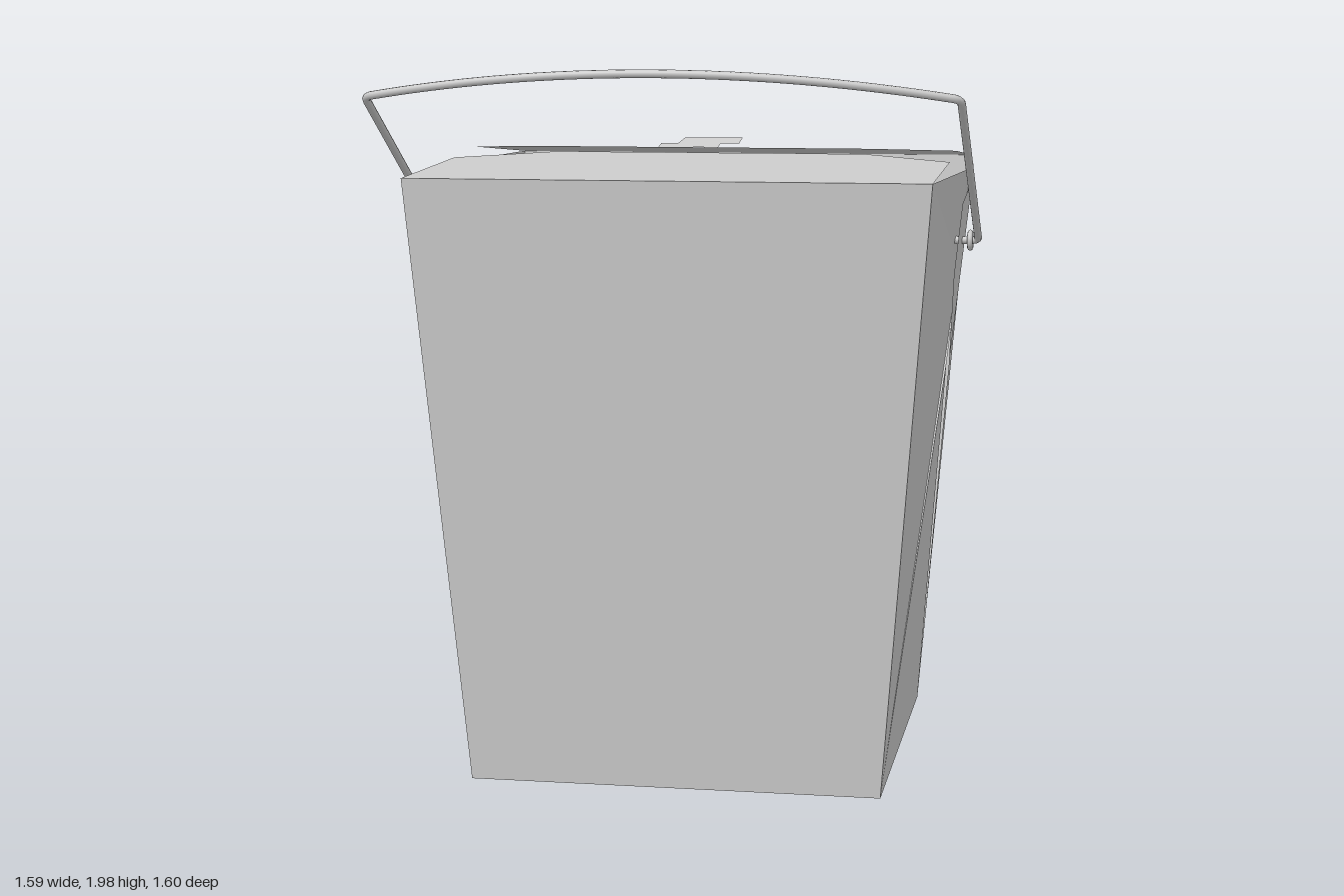
import * as THREE from 'three';

const H = 1.69;      // height of the box rim
const ZC = -0.105;   // depth of the box's middle plane

const paper = new THREE.MeshStandardMaterial({ color: 0xcccccc, side: THREE.DoubleSide, flatShading: true });
const wire = new THREE.MeshStandardMaterial({ color: 0xcccccc });

// Flat or creased sheet: a fan of triangles around the first corner
function sheet(name, corners) {
  const pos = [];
  for (let i = 1; i < corners.length - 1; i++) pos.push(...corners[0], ...corners[i], ...corners[i + 1]);
  const geo = new THREE.BufferGeometry();
  geo.setAttribute('position', new THREE.Float32BufferAttribute(pos, 3));
  geo.computeVertexNormals();
  const mesh = new THREE.Mesh(geo, paper);
  mesh.name = name;
  return mesh;
}

// Half width of the tapered box at height y, bulging towards its middle plane
function sideX(y, z, bulge) {
  const t = y / H;
  const halfDepth = 0.555 + 0.15 * t;
  return 0.575 + 0.135 * t + bulge * t * (1 - Math.abs(z - ZC) / halfDepth);
}

// Side sheet from [depth from the middle plane, height] points
function sideSheet(name, points, side, facing, bulge) {
  const corners = points.map(([d, y]) => {
    const z = ZC + d * facing;
    return [side * sideX(y, z, bulge), y, z];
  });
  if (side * facing > 0) corners.reverse();
  return sheet(name, corners);
}

export function createModel() {
  const model = new THREE.Group();
  model.name = 'takeawayBox';

  // Base and the two tapered main walls
  const [bw, tw] = [0.575, 0.71];
  model.add(sheet('base', [[-bw, 0, -0.66], [bw, 0, -0.66], [bw, 0, 0.45], [-bw, 0, 0.45]]));
  model.add(sheet('frontWall', [[-bw, 0, 0.45], [bw, 0, 0.45], [tw, H, 0.6], [-tw, H, 0.6]]));
  model.add(sheet('backWall', [[bw, 0, -0.66], [-bw, 0, -0.66], [-tw, H, -0.81], [tw, H, -0.81]]));

  // Folded sides: a triangular gusset and two flaps, the back one overlapping the front one
  const flap = [[0, 1.13], [0.555, 0], [0.705, H], [0.075, H], [0, 1.658], [-0.135, 1.6], [-0.135, 1.4]];
  const gusset = [[0.555, 0], [0, 1.13], [-0.555, 0]];
  for (const side of [1, -1]) {
    const fold = new THREE.Group();
    fold.name = side > 0 ? 'leftSide' : 'rightSide';
    fold.add(sideSheet('gusset', gusset, side, -1, 0.045));
    fold.add(sideSheet('frontFlap', flap, side, 1, 0.045));
    fold.add(sideSheet('backFlap', flap, side, -1, 0.056));
    model.add(fold);
  }

  // Lids rising gently to the middle, with cut corners; the back lid lies on top
  function lid(name, zHinge, zCorner, zEdge, xEdge, yEdge) {
    const yCorner = H + (yEdge - H) * (zCorner - zHinge) / (zEdge - zHinge);
    const half = [[tw, H, zHinge], [tw, yCorner, zCorner], [xEdge, yEdge, zEdge]];
    const other = half.map(([x, y, z]) => [-x, y, z]).reverse();
    const corners = [...half, ...other];
    if (zHinge < zEdge) corners.reverse();
    model.add(sheet(name, corners));
  }
  lid('frontLid', 0.6, 0.05, -0.15, 0.45, 1.725);
  lid('backLid', -0.81, -0.18, 0, 0.48, 1.748);

  // Locking tab of the front lid, poking up through the back lid
  const tab = new THREE.Group();
  tab.name = 'lockingTab';
  tab.add(sheet('tabNeck', [[-0.15, 1.741, -0.14], [0.025, 1.741, -0.14], [0.025, 1.75, -0.185], [-0.15, 1.75, -0.185]]));
  tab.add(sheet('tabHook', [[-0.1, 1.75, -0.18], [0.08, 1.75, -0.18], [0.08, 1.764, -0.25], [-0.09, 1.764, -0.25]]));
  model.add(tab);

  // Wire handle, bent in its own plane (u across, v along the swing arm)
  const pivot = new THREE.Vector3(0, 1.49, -0.06);
  const arm = new THREE.Vector3(0, 0.42, 0.73);
  const at = (u, v) => new THREE.Vector3(u, 0, 0).add(pivot).addScaledVector(arm, v);
  const path = new THREE.CurvePath();
  const line = (a, b) => path.add(new THREE.LineCurve3(a, b));
  const bend = (a, b, c) => path.add(new THREE.QuadraticBezierCurve3(a, b, c));
  line(at(-0.71, 0), at(-0.765, 0));
  bend(at(-0.765, 0), at(-0.785, 0), at(-0.785, 0.025));
  line(at(-0.785, 0.025), at(-0.785, 0.97));
  bend(at(-0.785, 0.97), at(-0.785, 1), at(-0.76, 1.006));
  path.add(new THREE.CubicBezierCurve3(at(-0.76, 1.006), at(-0.25, 1.2), at(0.25, 1.2), at(0.76, 1.006)));
  bend(at(0.76, 1.006), at(0.785, 1), at(0.785, 0.97));
  line(at(0.785, 0.97), at(0.785, 0.025));
  bend(at(0.785, 0.025), at(0.785, 0), at(0.765, 0));
  line(at(0.765, 0), at(0.71, 0));
  const handle = new THREE.Mesh(new THREE.TubeGeometry(path, 300, 0.011, 10), wire);
  handle.name = 'wireHandle';
  model.add(handle);

  // Small wire loops where the handle enters the sides
  for (const side of [1, -1]) {
    const loop = new THREE.Mesh(new THREE.TorusGeometry(0.022, 0.008, 8, 20), wire);
    loop.name = 'handleLoop';
    loop.rotation.y = Math.PI / 2;
    loop.position.set(side * 0.762, pivot.y, pivot.z);
    model.add(loop);
  }

  return model;
}
